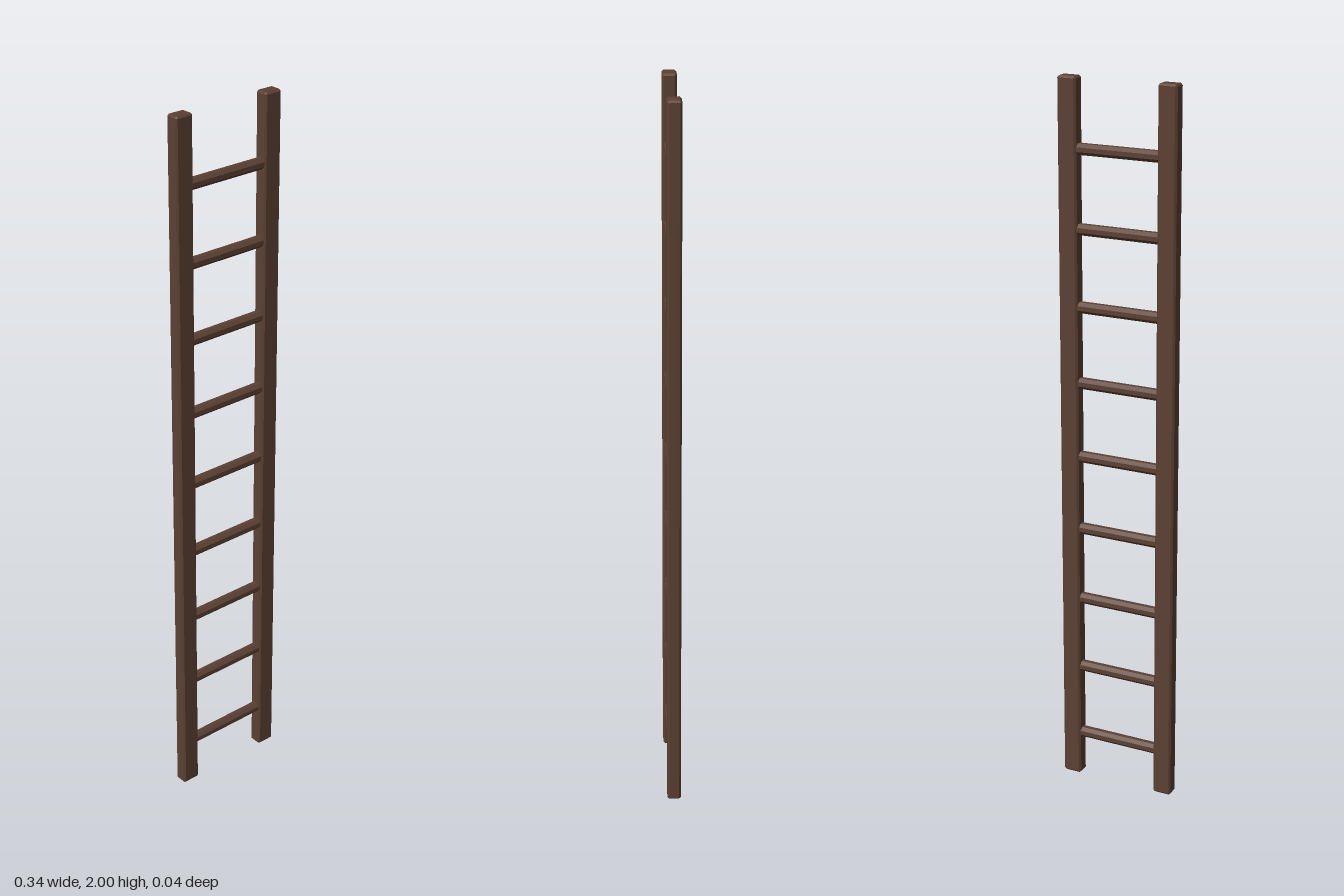
import * as THREE from 'three';
import { ConvexGeometry } from 'three/addons/geometries/ConvexGeometry.js';

// Box with every edge and corner chamfered by c
function chamferedBox(w, h, d, c) {
  const points = [];
  for (const sx of [-1, 1]) for (const sy of [-1, 1]) for (const sz of [-1, 1]) {
    const x = w / 2, y = h / 2, z = d / 2;
    points.push(
      new THREE.Vector3(sx * x, sy * (y - c), sz * (z - c)),
      new THREE.Vector3(sx * (x - c), sy * y, sz * (z - c)),
      new THREE.Vector3(sx * (x - c), sy * (y - c), sz * z)
    );
  }
  return new ConvexGeometry(points);
}

export function createModel() {
  const ladder = new THREE.Group();
  ladder.name = 'ladder';

  const wood = new THREE.MeshStandardMaterial({ color: 0x5c4033 });
  wood.name = 'dark brown wood';
  wood.flatShading = true;

  // Side rails
  const railGeometry = chamferedBox(0.053, 2, 0.038, 0.005);
  for (const side of [-1, 1]) {
    const rail = new THREE.Mesh(railGeometry, wood);
    rail.name = side > 0 ? 'leftRail' : 'rightRail';
    rail.position.set(side * 0.142, 1, 0);
    ladder.add(rail);
  }

  // Eight-sided rungs, flats facing up and forward
  const rungGeometry = new THREE.CylinderGeometry(0.016, 0.016, 0.26, 8);
  rungGeometry.rotateY(Math.PI / 8).rotateZ(Math.PI / 2);
  for (let i = 0; i < 9; i++) {
    const rung = new THREE.Mesh(rungGeometry, wood);
    rung.name = `rung${i + 1}`;
    rung.position.y = 0.13 + i * 0.2105;
    ladder.add(rung);
  }

  return ladder;
}
